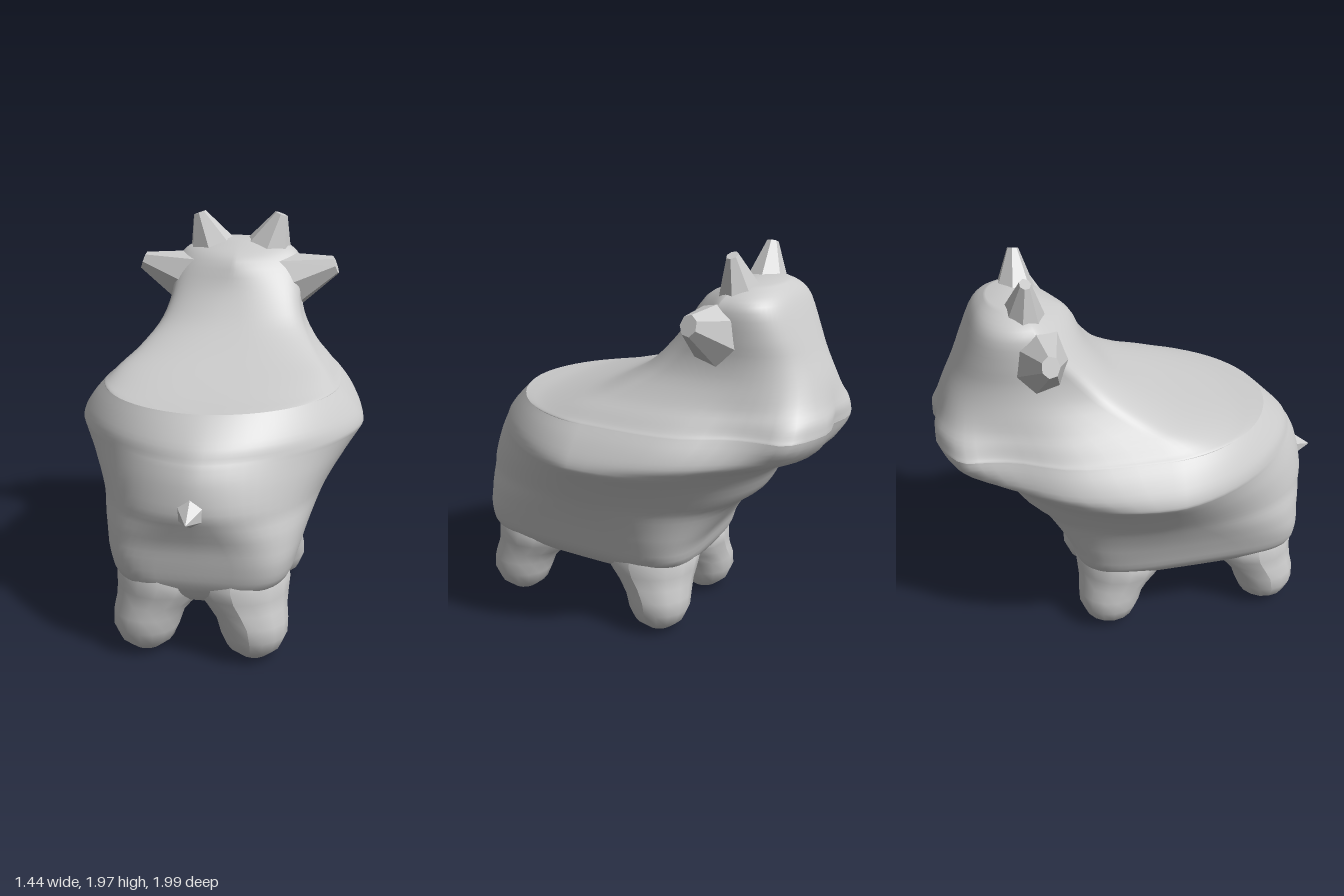
import * as THREE from 'three';

const SIDES = 64;
const STEPS = 3;

// Rows of [y, half width, z of widest point, rear z, front z, rear exponent, front exponent]
const TRUNK = [
  [0.25, 0.14, 0.25, 0.60, -0.08, 2.5, 2.5],
  [0.275, 0.25, 0.25, 0.72, -0.21, 3, 3],
  [0.32, 0.34, 0.25, 0.79, -0.29, 3.5, 3.5],
  [0.40, 0.42, 0.23, 0.835, -0.35, 5, 4.5],
  [0.50, 0.455, 0.20, 0.85, -0.385, 5, 4],
  [0.60, 0.49, 0.16, 0.86, -0.45, 3.8, 3],
  [0.70, 0.535, 0.12, 0.89, -0.53, 2.6, 2.3],
  [0.78, 0.58, 0.10, 0.91, -0.63, 2.1, 2],
  [0.90, 0.66, 0.08, 0.89, -0.70, 1.75, 2],
  [0.97, 0.71, 0.05, 0.86, -0.77, 1.65, 2],
  [1.00, 0.72, 0.05, 0.84, -0.83, 1.65, 2],
  [1.05, 0.70, 0.05, 0.81, -0.93, 1.7, 2.2],
  [1.12, 0.65, 0.05, 0.74, -0.985, 1.8, 2.4],
  [1.175, 0.60, 0.05, 0.68, -1.01, 1.9, 2.5],
];
const SEAT_AND_HEAD = [
  [1.175, 0.60, 0.05, 0.68, -1.01, 1.9, 2.5],
  [1.18, 0.595, 0.05, 0.61, -1.01, 2.1, 2.5],
  [1.195, 0.575, 0.04, 0.47, -1.01, 2.5, 2.5],
  [1.24, 0.53, 0.0, 0.27, -1.005, 2.8, 2.5],
  [1.30, 0.465, -0.10, 0.09, -0.975, 2.8, 2.5],
  [1.40, 0.39, -0.25, -0.08, -0.93, 2.6, 2.6],
  [1.50, 0.355, -0.35, -0.18, -0.88, 2.4, 2.7],
  [1.60, 0.345, -0.43, -0.25, -0.835, 2, 2.8],
  [1.72, 0.33, -0.50, -0.31, -0.78, 1.4, 2.8],
  [1.78, 0.28, -0.53, -0.42, -0.74, 1.6, 2.5],
  [1.82, 0.18, -0.57, -0.49, -0.69, 2, 2],
];

// Inserts spline-smoothed rows between the given ones
function refine(rows) {
  const out = [];
  const last = rows.length - 1;
  for (let i = 0; i < last; i++) {
    const [p, q, r, s] = [rows[Math.max(i - 1, 0)], rows[i], rows[i + 1], rows[Math.min(i + 2, last)]];
    for (let k = 0; k < STEPS; k++) {
      const t = k / STEPS;
      out.push(q.map((v, n) => v + 0.5 * t * (r[n] - p[n]
        + t * (2 * p[n] - 5 * v + 4 * r[n] - s[n] + t * (3 * (v - r[n]) + s[n] - p[n])))));
    }
  }
  out.push(rows[last]);
  return out;
}

const bump = (v, centre, size) => Math.exp(-(((v - centre) / size) ** 2));

// Stacks horizontal superellipse outlines into a skin
function loft(source, capBottom, capTop) {
  const rows = refine(source);
  const pos = [], idx = [];
  for (const [y, w, zc, zRear, zFront, eRear, eFront] of rows) {
    for (let j = 0; j < SIDES; j++) {
      const a = (j / SIDES) * Math.PI * 2, s = Math.sin(a), c = Math.cos(a);
      const p = 2 / (c > 0 ? eRear : eFront);
      let x = w * Math.sign(s) * Math.abs(s) ** p;
      let z = zc + (c > 0 ? zRear - zc : zFront - zc) * Math.abs(c) ** p;
      if (c < 0) {
        // slimmer neck, fuller muzzle and a shallow groove down its middle
        const muzzle = bump(y, 1.16, 0.17);
        x *= 1 + muzzle * (0.14 * bump(z, -0.91, 0.08) - 0.12 * bump(z, -0.66, 0.17));
        z += 0.04 * bump(x, 0, 0.09) * bump(y, 1.18, 0.12);
      }
      pos.push(x, y, z);
    }
  }
  for (let i = 0; i < rows.length - 1; i++) {
    for (let j = 0; j < SIDES; j++) {
      const a = i * SIDES + j, b = i * SIDES + ((j + 1) % SIDES);
      idx.push(a, b, b + SIDES, a, b + SIDES, a + SIDES);
    }
  }
  const cap = (i, y, up) => {
    const centre = pos.length / 3;
    pos.push(0, y, (rows[i][3] + rows[i][4]) / 2);
    for (let j = 0; j < SIDES; j++) {
      const a = i * SIDES + j, b = i * SIDES + ((j + 1) % SIDES);
      if (up) idx.push(a, b, centre);
      else idx.push(b, a, centre);
    }
  };
  if (capBottom !== null) cap(0, capBottom, false);
  if (capTop !== null) cap(rows.length - 1, capTop, true);
  const g = new THREE.BufferGeometry();
  g.setAttribute('position', new THREE.Float32BufferAttribute(pos, 3));
  g.setIndex(idx);
  g.computeVertexNormals();
  return g;
}

// Leg that widens upwards, only towards the belly, so its outer side stays upright
function makeLeg() {
  const profile = [[0.001, 0], [0.07, 0.01], [0.13, 0.06], [0.16, 0.13], [0.172, 0.2], [0.195, 0.26],
    [0.23, 0.32], [0.25, 0.38], [0.22, 0.46], [0.12, 0.56]].map(([r, y]) => new THREE.Vector2(r, y));
  const g = new THREE.LatheGeometry(profile, 16);
  const p = g.attributes.position;
  for (let i = 0; i < p.count; i++) {
    const lean = 0.09 * THREE.MathUtils.smoothstep(p.getY(i), 0.15, 0.38);
    p.setX(i, p.getX(i) - lean);
    p.setZ(i, p.getZ(i) - lean);
  }
  g.computeVertexNormals();
  return g;
}

// Tapered faceted stub running between two points
function stub(from, to, r0, r1, sides, flatten = 1) {
  const a = new THREE.Vector3(...from), b = new THREE.Vector3(...to);
  const dir = b.clone().sub(a);
  const g = new THREE.CylinderGeometry(r1, r0, dir.length(), sides, 1);
  g.scale(1, 1, flatten);
  g.applyQuaternion(new THREE.Quaternion().setFromUnitVectors(
    new THREE.Vector3(0, 1, 0), dir.normalize()));
  g.translate((a.x + b.x) / 2, (a.y + b.y) / 2, (a.z + b.z) / 2);
  return g;
}

export function createModel() {
  const group = new THREE.Group();
  const smooth = new THREE.MeshStandardMaterial({ color: 0xcccccc });
  const faceted = new THREE.MeshStandardMaterial({ color: 0xcccccc, flatShading: true });
  const add = (name, geometry, material) => {
    const mesh = new THREE.Mesh(geometry, material);
    mesh.name = name;
    group.add(mesh);
    return mesh;
  };

  // Trunk, then the scooped seat that sweeps up into the head
  add('body', loft(TRUNK, 0.245, null), smooth);
  add('seatAndHead', loft(SEAT_AND_HEAD, null, 1.83), smooth);

  // Stubby legs, turned so that each leans in towards the belly
  const legGeometry = makeLeg();
  const legs = [['leftTailEndLeg', 0.26, 0.685, 0], ['leftHeadEndLeg', 0.26, -0.185, 1],
    ['rightHeadEndLeg', -0.26, -0.185, 2], ['rightTailEndLeg', -0.26, 0.685, 3]];
  for (const [name, x, z, turns] of legs) {
    const leg = add(name, legGeometry, smooth);
    leg.position.set(x, 0, z);
    leg.rotation.y = turns * Math.PI / 2;
  }

  // Broad-rooted ears and horns
  for (const s of [1, -1]) {
    const side = s > 0 ? 'left' : 'right';
    add(side + 'Ear', stub([0.27 * s, 1.60, -0.49], [0.53 * s, 1.695, -0.475], 0.165, 0.05, 7, 0.85), faceted);
    add(side + 'Horn', stub([0.15 * s, 1.75, -0.54], [0.225 * s, 1.955, -0.53], 0.145, 0.036, 7, 0.75), faceted);
  }

  // Small pointed tail
  add('tail', stub([0, 0.785, 0.86], [0, 0.77, 1.0], 0.09, 0.002, 6), faceted);

  return group;
}
